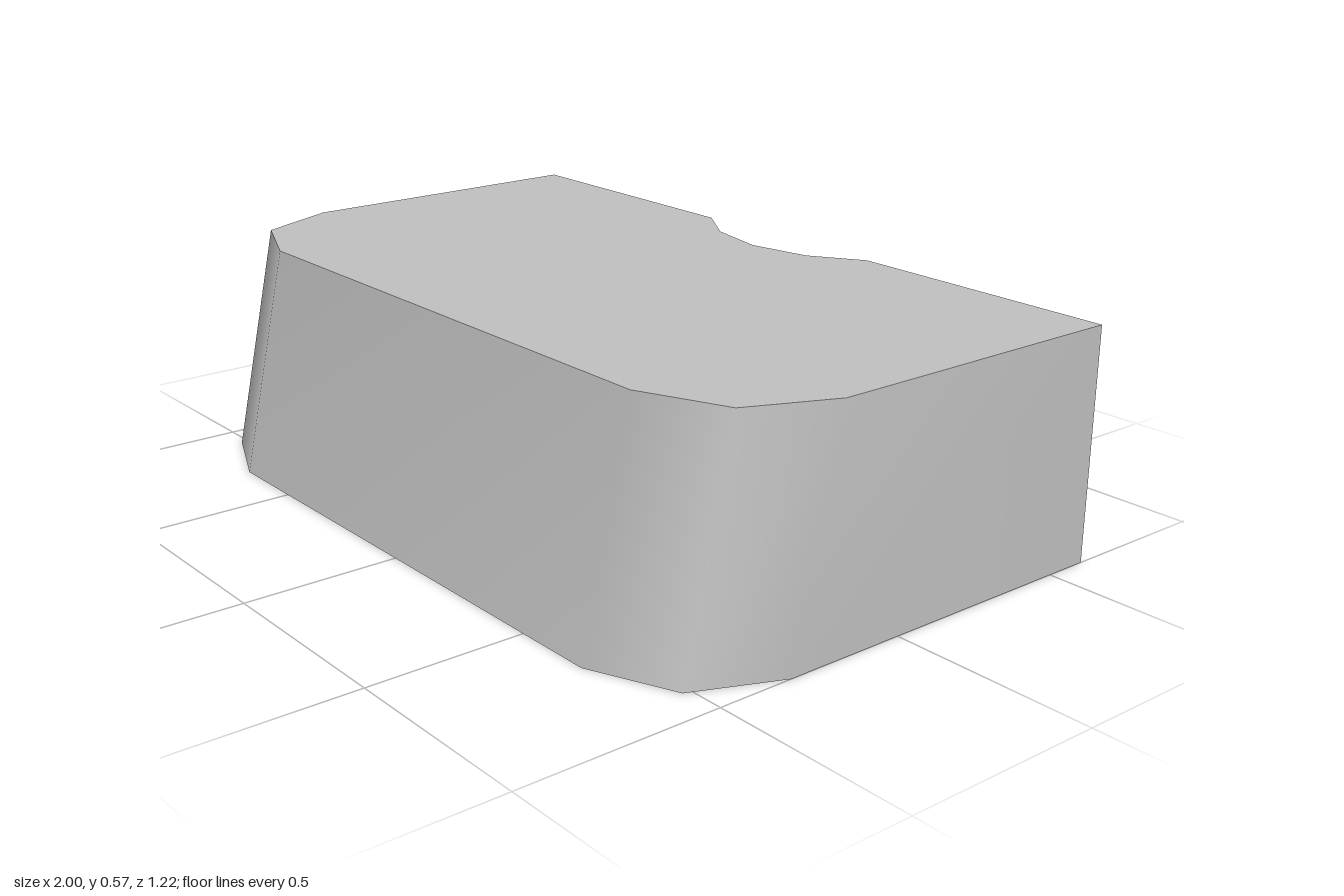
import * as THREE from 'three';

const HEIGHT = 0.57;
const LEAN = 0.125; // how far the front wall leans back at the top

// Wall runs as [x, z] at floor level, counter-clockwise from above; smooth within a run
const FRONT = [[-1, -0.61], [-1, 0.31], [-0.91, 0.52], [-0.7, 0.61],
  [0.7, 0.61], [0.91, 0.52], [1, 0.31], [1, -0.61]];
const BACK_LEFT = [[1, -0.61], [0.29, -0.61]];
const NOTCH = [[0.29, -0.61], [0.16, -0.525], [0, -0.493], [-0.16, -0.525], [-0.29, -0.61]];
const BACK_RIGHT = [[-0.29, -0.61], [-1, -0.61]];

const raise = ([x, z]) => [x, z > 0 ? z - LEAN : z];

// Strip of quads between floor and top edge
function wallGeometry(run) {
  const positions = [], index = [];
  run.forEach((p, i) => {
    const [tx, tz] = raise(p);
    positions.push(p[0], 0, p[1], tx, HEIGHT, tz);
    if (i < run.length - 1) {
      const a = i * 2;
      index.push(a, a + 2, a + 3, a, a + 3, a + 1);
    }
  });
  const geometry = new THREE.BufferGeometry();
  geometry.setAttribute('position', new THREE.Float32BufferAttribute(positions, 3));
  geometry.setIndex(index);
  geometry.computeVertexNormals();
  return geometry;
}

// Flat cap, facing up (side = 1) or down (side = -1)
function capGeometry(outline, side, y) {
  const shape = new THREE.Shape(outline.map(([x, z]) => new THREE.Vector2(x, -side * z)));
  return new THREE.ShapeGeometry(shape).rotateX(-side * Math.PI / 2).translate(0, y, 0);
}

export function createModel() {
  const model = new THREE.Group();
  model.name = 'notchedBlock';
  const grey = new THREE.MeshStandardMaterial({ color: 0xc0c0c0 });
  grey.name = 'light grey';

  const add = (name, geometry) => {
    const mesh = new THREE.Mesh(geometry, grey);
    mesh.name = name;
    model.add(mesh);
  };

  // Walls
  add('frontAndSideWall', wallGeometry(FRONT));
  add('backWallLeft', wallGeometry(BACK_LEFT));
  add('backNotch', wallGeometry(NOTCH));
  add('backWallRight', wallGeometry(BACK_RIGHT));

  // Top and bottom
  const outline = [FRONT, BACK_LEFT, NOTCH, BACK_RIGHT].flatMap((run) => run.slice(0, -1));
  add('topFace', capGeometry(outline.map(raise), 1, HEIGHT));
  add('bottomFace', capGeometry(outline, -1, 0));

  return model;
}
